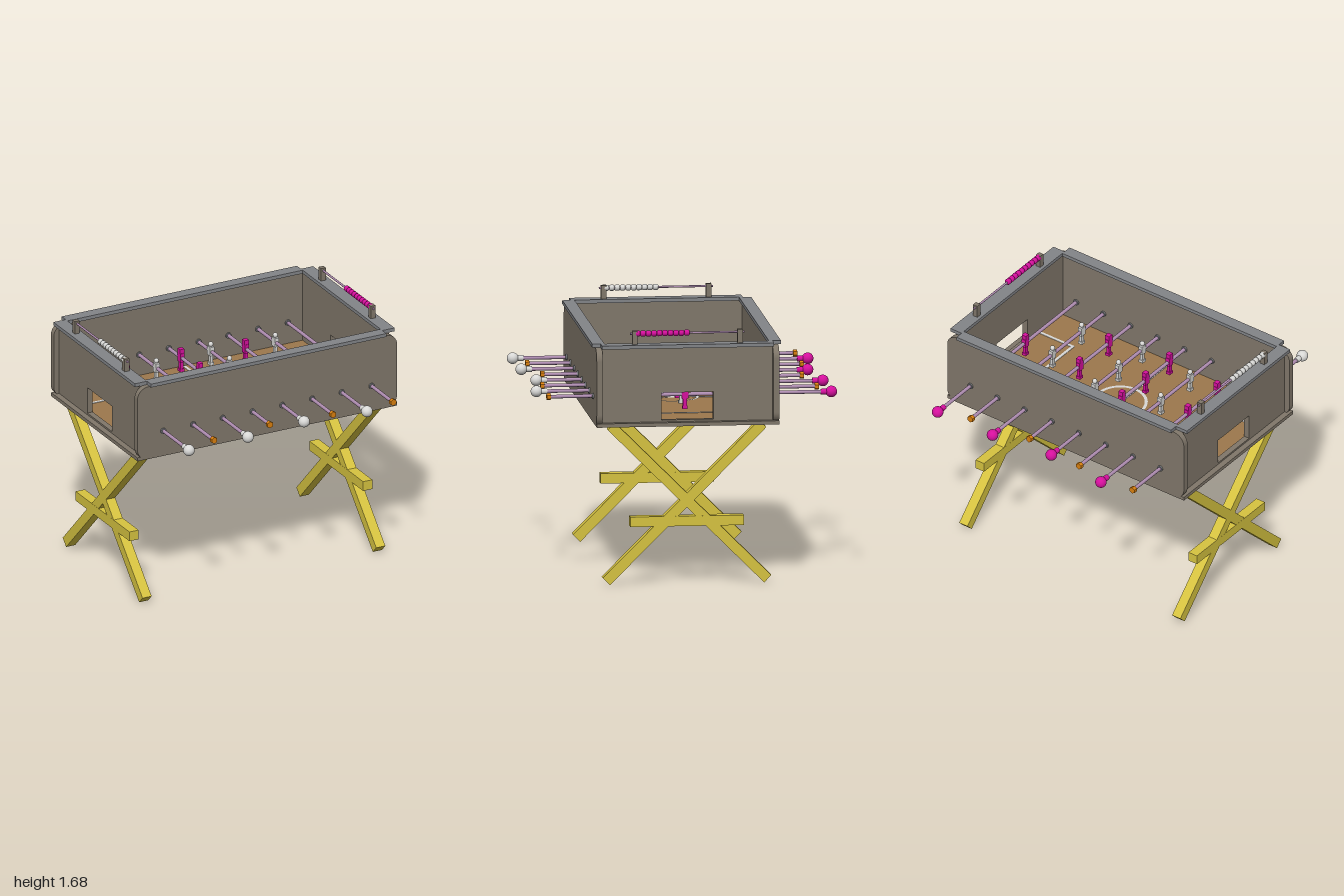
import * as THREE from 'three';

const mat = (name, color) => Object.assign(new THREE.MeshStandardMaterial({ color }), { name });
const M = {
  panel: mat('brown grey panel', 0x80776a),
  rail: mat('grey rail', 0x828488),
  leg: mat('yellow wood', 0xd6c340),
  field: mat('tan field', 0x9c784c),
  white: mat('white', 0xd8d8d6),
  pink: mat('magenta', 0xd6109e),
  rod: mat('mauve metal', 0xae8cb0),
  cap: mat('orange', 0xd9800f),
};

export function createModel() {
  const root = new THREE.Group();
  root.name = 'footballTable';

  const add = (parent, name, geo, material, x = 0, y = 0, z = 0) => {
    const m = new THREE.Mesh(geo, material);
    m.name = name;
    m.position.set(x, y, z);
    parent.add(m);
    return m;
  };
  const box = (parent, name, material, w, h, d, x, y, z) =>
    add(parent, name, new THREE.BoxGeometry(w, h, d), material, x, y, z);
  // Cylinder lying along z; six-sided ones are faceted
  const bar = (parent, name, material, r, len, x, y, z, sides = 14) => {
    let g = new THREE.CylinderGeometry(r, r, len, sides).rotateX(Math.PI / 2);
    if (sides < 8) {
      g = g.toNonIndexed();
      g.computeVertexNormals();
    }
    return add(parent, name, g, material, x, y, z);
  };

  // Cabinet: base and playing field
  box(root, 'base', M.panel, 1.92, 0.025, 1.198, 0, 1.0725, 0);
  box(root, 'field', M.field, 1.78, 0.006, 1.12, 0, 1.088, 0);

  // Long side boards with rounded corners
  const W = 0.96, y0 = 1.06, y1 = 1.576, R = 0.08;
  const board = new THREE.Shape();
  board.moveTo(-W + R, y0).lineTo(W - R, y0);
  board.absarc(W - R, y0 + R, R, -Math.PI / 2, 0);
  board.absarc(W - R, y1 - R, R, 0, Math.PI / 2);
  board.absarc(-W + R, y1 - R, R, Math.PI / 2, Math.PI);
  board.absarc(-W + R, y0 + R, R, Math.PI, Math.PI * 1.5);
  const boardGeo = new THREE.ExtrudeGeometry(board, { depth: 0.04, bevelEnabled: false, curveSegments: 10 });
  add(root, 'frontBoard', boardGeo, M.panel, 0, 0, 0.56);
  add(root, 'backBoard', boardGeo, M.panel, 0, 0, -0.6);
  for (const s of [1, -1]) box(root, 'longRail', M.rail, 1.74, 0.024, 0.08, 0, 1.588, s * 0.58);

  // End panels with goal openings
  const end = new THREE.Shape();
  end.moveTo(-0.56, 1.085).lineTo(0.56, 1.085).lineTo(0.56, y1).lineTo(-0.56, y1).closePath();
  const goal = new THREE.Path();
  goal.moveTo(-0.17, 1.097).lineTo(-0.17, 1.278).lineTo(0.17, 1.278).lineTo(0.17, 1.097).closePath();
  end.holes.push(goal);
  const endGeo = new THREE.ExtrudeGeometry(end, { depth: 0.04, bevelEnabled: false })
    .translate(0, 0, -0.02).rotateY(Math.PI / 2);

  for (const s of [1, -1]) {
    add(root, 'endPanel', endGeo, M.panel, s * 0.9, 0, 0);
    box(root, 'endRail', M.rail, 0.09, 0.024, 1.13, s * 0.915, 1.588, 0);

    // Score counter: posts, wire and ten beads
    const counter = new THREE.Group();
    counter.name = s > 0 ? 'leftScoreCounter' : 'rightScoreCounter';
    root.add(counter);
    for (const z of [-0.345, 0.345]) box(counter, 'post', M.panel, 0.035, 0.09, 0.035, s * 0.91, 1.643, z);
    bar(counter, 'wire', M.rod, 0.007, 0.75, s * 0.91, 1.67, 0, 10);
    const bead = [[0, -0.017], [0.014, -0.017], [0.02, -0.011], [0.02, 0.011], [0.014, 0.017], [0, 0.017]]
      .map(([x, y]) => new THREE.Vector2(x, y));
    const beadGeo = new THREE.LatheGeometry(bead, 12).rotateX(Math.PI / 2);
    for (let i = 0; i < 10; i++)
      add(counter, 'bead', beadGeo, s > 0 ? M.pink : M.white, s * 0.91, 1.67, 0.002 + i * 0.036);

    // Crossed legs with a brace
    const legs = new THREE.Group();
    legs.name = 'crossedLegs';
    legs.position.x = s * 0.864;
    root.add(legs);
    for (const t of [1, -1]) {
      const beam = box(legs, 'leg', M.leg, 0.067, 1.452, 0.067, 0, 0.5435, t * 0.0165);
      beam.rotation.x = -t * Math.PI / 4;
    }
    box(legs, 'brace', M.leg, 0.068, 0.066, 0.745, 0, 0.422, 0);

    // Penalty area lines
    const line = (w, d, x, z) => box(root, 'penaltyLine', M.white, w, 0.004, d, x, 1.092, z);
    line(0.02, 0.64, s * 0.615, 0);
    for (const t of [1, -1]) line(0.26, 0.02, s * 0.745, t * 0.31);
  }

  // Centre line, circle and spot
  box(root, 'centreLine', M.white, 0.02, 0.004, 1.1, 0, 1.092, 0);
  add(root, 'centreCircle', new THREE.RingGeometry(0.16, 0.18, 48).rotateX(-Math.PI / 2), M.white, 0, 1.0945, 0);
  add(root, 'centreSpot', new THREE.CircleGeometry(0.035, 24).rotateX(-Math.PI / 2), M.white, 0, 1.095, 0);

  // One player hanging on a rod
  const player = (parent, material, x, z) => {
    const g = new THREE.Group();
    g.name = 'player';
    g.position.set(x, 0, z);
    parent.add(g);
    box(g, 'torso', material, 0.03, 0.062, 0.042, 0, 1.243, 0);
    box(g, 'legsOfPlayer', material, 0.02, 0.06, 0.026, 0, 1.185, 0);
    box(g, 'feet', material, 0.032, 0.02, 0.034, 0, 1.154, 0);
    if (material === M.pink) box(g, 'head', material, 0.032, 0.032, 0.034, 0, 1.288, 0);
    else add(g, 'head', new THREE.SphereGeometry(0.017, 12, 8), material, 0, 1.29, 0);
  };

  // Rods: [ball centre distance, cap distance, player positions]
  const three = [-0.32, 0, 0.32], four = [-0.39, -0.13, 0.13, 0.39];
  const rods = [
    [0.957, 0.897, [0]], [0.955, 0.887, three], [0.95, 0.89, three], [0.905, 0.837, four],
    [0.902, 0.842, four], [0.955, 0.887, three], [0.95, 0.89, three], [0.962, 0.895, [0]],
  ];
  const Y = 1.24;
  rods.forEach(([ball, cap, players], i) => {
    const g = new THREE.Group();
    g.name = 'rod' + (i + 1);
    root.add(g);
    const x = -0.77 + i * 0.22;
    const dir = i % 2 ? -1 : 1; // white handles at the front, magenta at the back
    const team = i % 2 ? M.pink : M.white;
    bar(g, 'shaft', M.rod, 0.012, ball + cap, x, Y, dir * (ball - cap) / 2);
    add(g, 'handleBall', new THREE.SphereGeometry(0.038, 20, 14), team, x, Y, dir * ball);
    bar(g, 'handleCollar', team, 0.019, 0.05, x, Y, dir * (ball - 0.045));
    bar(g, 'endCap', M.cap, 0.023, 0.026, x, Y, -dir * cap, 6);
    for (const s of [1, -1]) bar(g, 'bushing', M.rail, 0.02, 0.06, x, Y, s * 0.58);
    players.forEach((z) => player(g, team, x, z));
  });

  return root;
}
